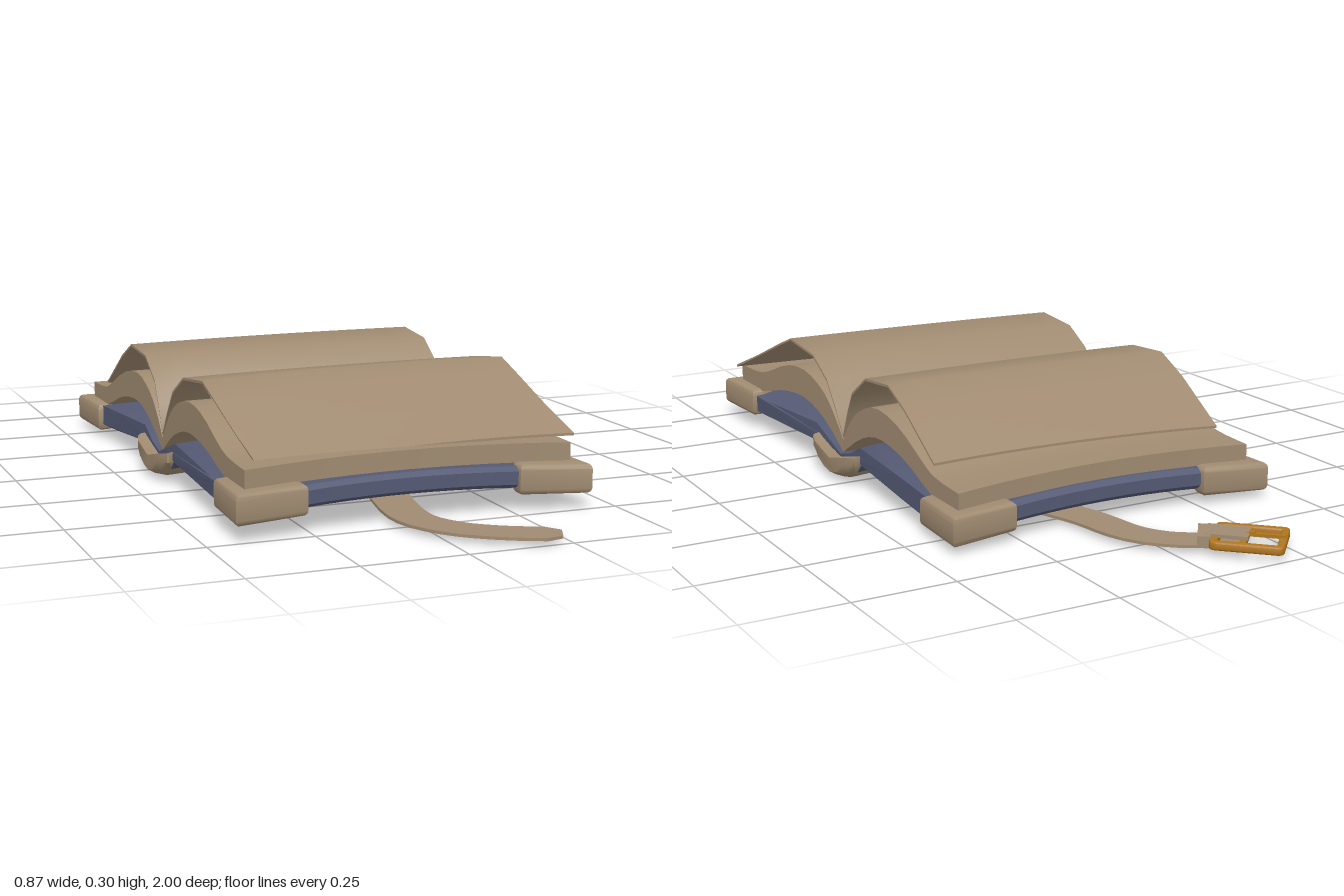
import * as THREE from 'three';
import { toCreasedNormals } from 'three/addons/utils/BufferGeometryUtils.js';

const tan = new THREE.MeshStandardMaterial({ color: 0xa08b71 });
const navy = new THREE.MeshStandardMaterial({ color: 0x555a74 });
const brass = new THREE.MeshStandardMaterial({ color: 0xb0761c });
tan.name = 'tan leather and paper';
navy.name = 'navy cloth';
brass.name = 'brass';

const vectors = (points) => points.map(([a, b]) => new THREE.Vector2(a, b));

function mesh(name, geometry, material, crease = 0.6) {
  const m = new THREE.Mesh(toCreasedNormals(geometry, crease), material);
  m.name = name;
  return m;
}

// Moves every vertex by a rule (x, y, z) => [x, y, z]
function warp(geometry, rule) {
  const p = geometry.attributes.position;
  for (let i = 0; i < p.count; i++) p.setXYZ(i, ...rule(p.getX(i), p.getY(i), p.getZ(i)));
  return geometry;
}

// Side profile of [z, y] points drawn out along x from x0 to x1
function alongX(points, x0, x1, steps = 12) {
  const g = new THREE.ExtrudeGeometry(new THREE.Shape(vectors(points)), { depth: x1 - x0, steps, bevelEnabled: false });
  return g.rotateY(-Math.PI / 2).translate(x1, 0, 0);
}

// Plan outline of [x, z] points with its thickness in y
function plate(shape, y0, y1, bevel = 0) {
  const g = new THREE.ExtrudeGeometry(shape, {
    depth: y1 - y0 - 2 * bevel, bevelEnabled: bevel > 0, bevelSize: bevel, bevelThickness: bevel,
    bevelOffset: -bevel, bevelSegments: 3, curveSegments: 8,
  });
  return g.rotateX(Math.PI / 2).translate(0, y1 - bevel, 0);
}

// Smooth curve through a few [z, y] points
const smooth = (points, n) => new THREE.SplineCurve(vectors(points)).getPoints(n).map((v) => [v.x, v.y]);

// Boards bow up across x and their edges curve inwards between corners
const bow = (x, amount) => amount * (1 - Math.min(1, (x / 0.43) ** 2));
function bend(x, y, z, lift = 0.016) {
  const v = Math.min(1, Math.abs(z - 0.07) / 0.67);
  return [x * (1 - 0.05 * (1 - v * v)), y + bow(x, lift), 0.07 + (z - 0.07) * (1 - bow(x, 0.05))];
}

export function createModel() {
  const book = new THREE.Group();
  book.name = 'openBook';

  // Cover: two padded boards joined by a rounded spine
  const cover = [
    [0.73, 0.103], [0.5, 0.098], [0.2, 0.112], [0.12, 0.085], [0.06, 0.065], [0, 0.08], [-0.06, 0.11],
    [-0.3, 0.098], [-0.585, 0.086], [-0.6, 0.075], [-0.6, 0.045], [-0.585, 0.033], [-0.3, 0.047],
    [-0.07, 0.066], [-0.045, 0.043], [0, 0.022], [0.06, 0.014], [0.12, 0.022], [0.165, 0.043],
    [0.19, 0.064], [0.4, 0.058], [0.73, 0.052], [0.745, 0.062], [0.745, 0.093],
  ];
  book.add(mesh('cover', warp(alongX(cover, -0.42, 0.42, 16), bend), navy));

  // Corner guards
  for (const side of [-1, 1]) for (const end of [-1, 1]) {
    const zc = end > 0 ? 0.755 : -0.613;
    const at = (a, b) => [side * (0.435 - a), zc - end * b];
    const s = new THREE.Shape();
    s.moveTo(...at(0, 0));
    s.lineTo(...at(0.175, 0));
    s.lineTo(...at(0.175, 0.035));
    s.quadraticCurveTo(...at(0.13, 0.14), ...at(0.03, 0.18));
    s.lineTo(...at(0, 0.18));
    s.closePath();
    const [y0, y1] = end > 0 ? [0.043, 0.115] : [0.024, 0.096];
    const g = warp(plate(s, y0, y1, 0.013), (x, y, z) => bend(x, y, z, 0.008));
    book.add(mesh('cornerGuard', g, tan));
  }

  // Spine end caps
  const capProfile = [
    [0.185, 0.085], [0.185, 0.06], [0.155, 0.032], [0.11, 0.012], [0.06, 0.003], [0.01, 0.012],
    [-0.035, 0.032], [-0.062, 0.06], [-0.062, 0.085], [0.06, 0.055],
  ];
  for (const side of [-1, 1]) {
    const x0 = side > 0 ? 0.27 : -0.43;
    const g = warp(alongX(capProfile, x0, x0 + 0.16, 8), (x, y, z) => {
      const a = Math.abs(x), t = (a - 0.27) / 0.16;
      const k = 1 - 0.3 * Math.max(0, (t - 0.7) / 0.3) ** 2;
      const inset = 0.1 * (1 - t) * ((z - 0.06) / 0.122) ** 2;
      return [side * (a + inset), 0.07 + (y - 0.07) * k + bow(x, 0.016), 0.06 + (z - 0.06) * k];
    });
    book.add(mesh('spineCap', g, tan, 0.8));
  }

  // Page blocks arching from the gutter to the fore edge
  const frontTop = [[0.06, 0.1], [0.1, 0.145], [0.17, 0.2], [0.28, 0.232], [0.4, 0.222], [0.54, 0.173], [0.62, 0.16], [0.715, 0.157]];
  const frontBottom = [[0.715, 0.112], [0.59, 0.108], [0.42, 0.148], [0.28, 0.157], [0.16, 0.125], [0.06, 0.068]];
  const backTop = [[0.06, 0.1], [0.02, 0.15], [-0.04, 0.198], [-0.14, 0.23], [-0.27, 0.213], [-0.41, 0.155], [-0.47, 0.14], [-0.575, 0.135]];
  const backBottom = [[-0.575, 0.092], [-0.45, 0.092], [-0.3, 0.14], [-0.16, 0.157], [-0.05, 0.13], [0.06, 0.068]];
  const block = (name, top, bottom) => {
    const g = alongX([...smooth(top, 18), ...smooth(bottom, 14)], -0.4, 0.4);
    book.add(mesh(name, warp(g, (x, y, z) => {
      const out = Math.abs(z - 0.06) / 0.65;
      return [x * (0.975 + 0.025 * out), y + bow(x, 0.009) * out, 0.06 + (z - 0.06) * (1 - bow(x, 0.05) * out)];
    }), tan));
  };
  block('frontPages', frontTop, frontBottom);
  block('backPages', backTop, backBottom);

  // Loose leaves lifted above the page blocks
  const leaf = (name, line, rule) => {
    const under = line.map(([z, y]) => [z, y - 0.006]).reverse();
    book.add(mesh(name, warp(alongX([...line, ...under], -0.39, 0.39), rule), tan));
  };
  leaf('frontLeaf', [[0.06, 0.112], [0.1, 0.17], [0.15, 0.235], [0.23, 0.283], [0.36, 0.298], [0.43, 0.268], [0.55, 0.212], [0.675, 0.157]],
    (x, y, z) => {
      const out = (z - 0.06) / 0.62;
      return [x + 0.042 * out * out, y + out * (0.012 * x / 0.39 + bow(x, 0.01)), z - out * bow(x, 0.025)];
    });
  leaf('backLeaf', [[0.06, 0.112], [0.03, 0.18], [0, 0.235], [-0.08, 0.288], [-0.21, 0.298], [-0.3, 0.256], [-0.45, 0.162]],
    (x, y, z) => {
      const out = (0.06 - z) / 0.51;
      return [x, y + out * (0.006 * x / 0.39 + bow(x, 0.008)), z + out * (0.012 * x / 0.39 + bow(x, 0.012))];
    });

  // Strap winding beneath the book, with a narrowed tip
  const path = new THREE.SplineCurve(vectors([
    [0.235, 0.975], [0.12, 0.92], [0.03, 0.84], [-0.01, 0.72], [0.03, 0.5], [0.1, 0.28], [0.16, 0.05],
    [0.165, -0.2], [0.1, -0.43], [0.055, -0.57], [0.03, -0.7], [-0.02, -0.78], [-0.09, -0.83], [-0.15, -0.885],
  ]));
  const left = [], right = [];
  for (let i = 0; i <= 60; i++) {
    const t = i / 60, p = path.getPointAt(t), d = path.getTangentAt(t);
    const half = i === 0 ? 0.024 : 0.048 - 0.008 * Math.max(0, (t - 0.85) / 0.15);
    left.push([p.x - d.y * half, p.y + d.x * half]);
    right.unshift([p.x + d.y * half, p.y - d.x * half]);
  }
  book.add(mesh('strap', plate(new THREE.Shape(vectors([...left, ...right])), 0.018, 0.025), tan));

  // Buckle: square frame, centre bar, prong and the strap's folded end
  const buckle = new THREE.Group();
  buckle.name = 'buckle';
  const box = (w, d) => [[-w, -d], [w, -d], [w, d], [-w, d]];
  const round = (w, d, r) => {
    const s = new THREE.Shape();
    s.moveTo(-w + r, -d);
    for (const [sx, sz] of [[1, -1], [1, 1], [-1, 1], [-1, -1]]) {
      const ends = [[sx * (w - r), sz * d], [sx * w, sz * (d - r)]];
      if (sx * sz > 0) ends.reverse();
      s.lineTo(...ends[0]);
      s.quadraticCurveTo(sx * w, sz * d, ...ends[1]);
    }
    return s;
  };
  const frame = round(0.084, 0.074, 0.018);
  frame.holes.push(new THREE.Path(vectors(box(0.066, 0.056))));
  buckle.add(mesh('buckleFrame', plate(frame, 0.022, 0.042, 0.004), brass));
  const part = (name, w, h, d, x, y, z, material) => {
    const m = mesh(name, new THREE.BoxGeometry(w, h, d), material);
    m.position.set(x, y, z);
    buckle.add(m);
  };
  part('buckleBar', 0.014, 0.014, 0.13, 0.01, 0.032, 0, brass);
  part('buckleProng', 0.014, 0.01, 0.012, -0.005, 0.045, 0, brass);
  part('buckleProngTip', 0.09, 0.008, 0.012, -0.035, 0.043, 0, brass);
  part('strapFold', 0.1, 0.008, 0.074, 0.05, 0.043, 0.002, tan);
  buckle.rotation.y = -0.77;
  buckle.position.set(-0.168, 0, -0.893);
  book.add(buckle);

  // Keeper loop on the folded strap
  const keeper = mesh('strapKeeper', new THREE.BoxGeometry(0.03, 0.026, 0.09), tan);
  keeper.rotation.y = -0.65;
  keeper.position.set(-0.09, 0.033, -0.828);
  book.add(keeper);

  // Small pocket with a flap beneath the front board
  const pocket = round(0.095, 0.18, 0.03), flap = round(0.1, 0.05, 0.02);
  const pocketMesh = mesh('pocket', plate(pocket, 0.052, 0.08, 0.005), tan);
  pocketMesh.position.set(-0.135, 0, 0.42);
  const flapMesh = mesh('pocketFlap', plate(flap, 0.046, 0.07, 0.004), tan);
  flapMesh.position.set(-0.135, 0, 0.29);
  book.add(pocketMesh, flapMesh);

  return book;
}
